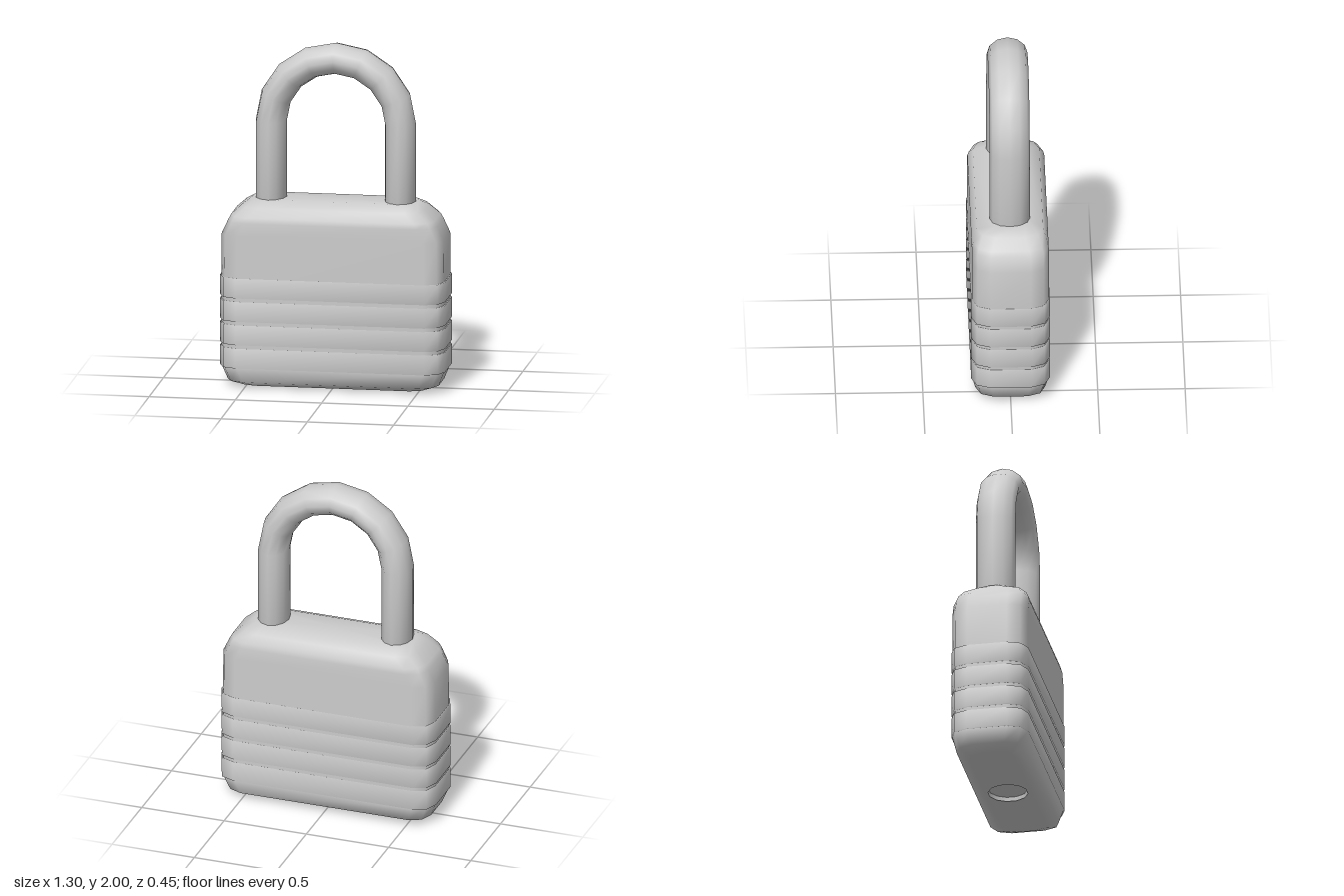
import * as THREE from 'three';

const material = new THREE.MeshStandardMaterial({ color: 0xcccccc });

// Skin a list of equal-length loops, smooth shaded, with optional end caps
function loft(name, loops, capStart = true, capEnd = true) {
  const n = loops[0].length;
  const points = loops.flat();
  const index = [];
  for (let i = 0; i < loops.length - 1; i++) {
    for (let j = 0; j < n; j++) {
      const a = i * n + j, b = i * n + (j + 1) % n;
      index.push(a, a + n, b, b, a + n, b + n);
    }
  }
  const cap = (start, flip) => {
    const centre = new THREE.Vector3();
    for (let j = 0; j < n; j++) centre.addScaledVector(points[start + j], 1 / n);
    const c = points.push(centre) - 1;
    for (let j = 0; j < n; j++) {
      const a = start + j, b = start + (j + 1) % n;
      if (flip) index.push(c, b, a);
      else index.push(c, a, b);
    }
  };
  const last = (loops.length - 1) * n;
  if (capStart) cap(0, false);
  if (capEnd) cap(last, true);
  const geometry = new THREE.BufferGeometry().setFromPoints(points);
  geometry.setIndex(index);
  geometry.computeVertexNormals();
  const mesh = new THREE.Mesh(geometry, material);
  mesh.name = name;
  return mesh;
}

// Horizontal rectangle with two-segment rounded corners
function section(y, hx, hz, r = 0.105) {
  const loop = [];
  [[1, 1], [-1, 1], [-1, -1], [1, -1]].forEach(([sx, sz], k) => {
    for (let j = 0; j < 3; j++) {
      const a = k * Math.PI / 2 + j * Math.PI / 4;
      loop.push(new THREE.Vector3(
        sx * (hx - r) + r * Math.cos(a), y, sz * (hz - r) + r * Math.sin(a)));
    }
  });
  return loop;
}

// Twelve-sided horizontal ring matching the corners of a section
function ring(y, radius) {
  return Array.from({ length: 12 }, (_, j) => {
    const a = (15 + j * 30) * Math.PI / 180;
    return new THREE.Vector3(radius * Math.cos(a), y, radius * Math.sin(a));
  });
}

export function createModel() {
  const group = new THREE.Group();
  group.name = 'padlock';

  // Body, open underneath where the keyhole recess sits
  group.add(loft('body', [
    ring(0.005, 0.125),
    section(0.005, 0.54, 0.14, 0.09),
    section(0.035, 0.612, 0.2),
    section(0.12, 0.645, 0.22),
    section(0.65, 0.645, 0.22),
    section(0.89, 0.643, 0.22),
    section(0.97, 0.605, 0.22),
    section(1.0, 0.59, 0.212),
    section(1.055, 0.53, 0.19),
    section(1.09, 0.48, 0.11, 0.08),
  ], false, true));

  // Keyhole recess with a fine lip
  group.add(loft('keyholeLip', [ring(0, 0.115), ring(0.005, 0.126)], false, false));
  group.add(loft('keyholeWall', [ring(0.025, 0.113), ring(0, 0.115)], false, false));
  group.add(loft('keyholeFloor', [ring(0.025, 0.05), ring(0.025, 0.113)], true, false));

  // Four bands around the lower body
  for (let i = 0; i < 4; i++) {
    const y = 0.12 + i * 0.137;
    group.add(loft('band' + (i + 1), [
      section(y, 0.635, 0.21),
      section(y, 0.652, 0.225),
      section(y + 0.115, 0.652, 0.225),
      section(y + 0.115, 0.635, 0.21),
    ]));
  }

  // Shackle: oval section swept up, over a half circle and down
  const radius = 0.375, springY = 1.535;
  const oval = (angle, y) => Array.from({ length: 12 }, (_, j) => {
    const a = j * Math.PI / 6;
    const d = radius + 0.09 * Math.cos(a);
    return new THREE.Vector3(
      d * Math.cos(angle), y + d * Math.sin(angle), 0.115 * Math.sin(a));
  });
  const loops = [oval(0, 1.04)];
  for (let i = 0; i <= 8; i++) loops.push(oval(i * Math.PI / 8, springY));
  loops.push(oval(Math.PI, 1.04));
  group.add(loft('shackle', loops));

  return group;
}
